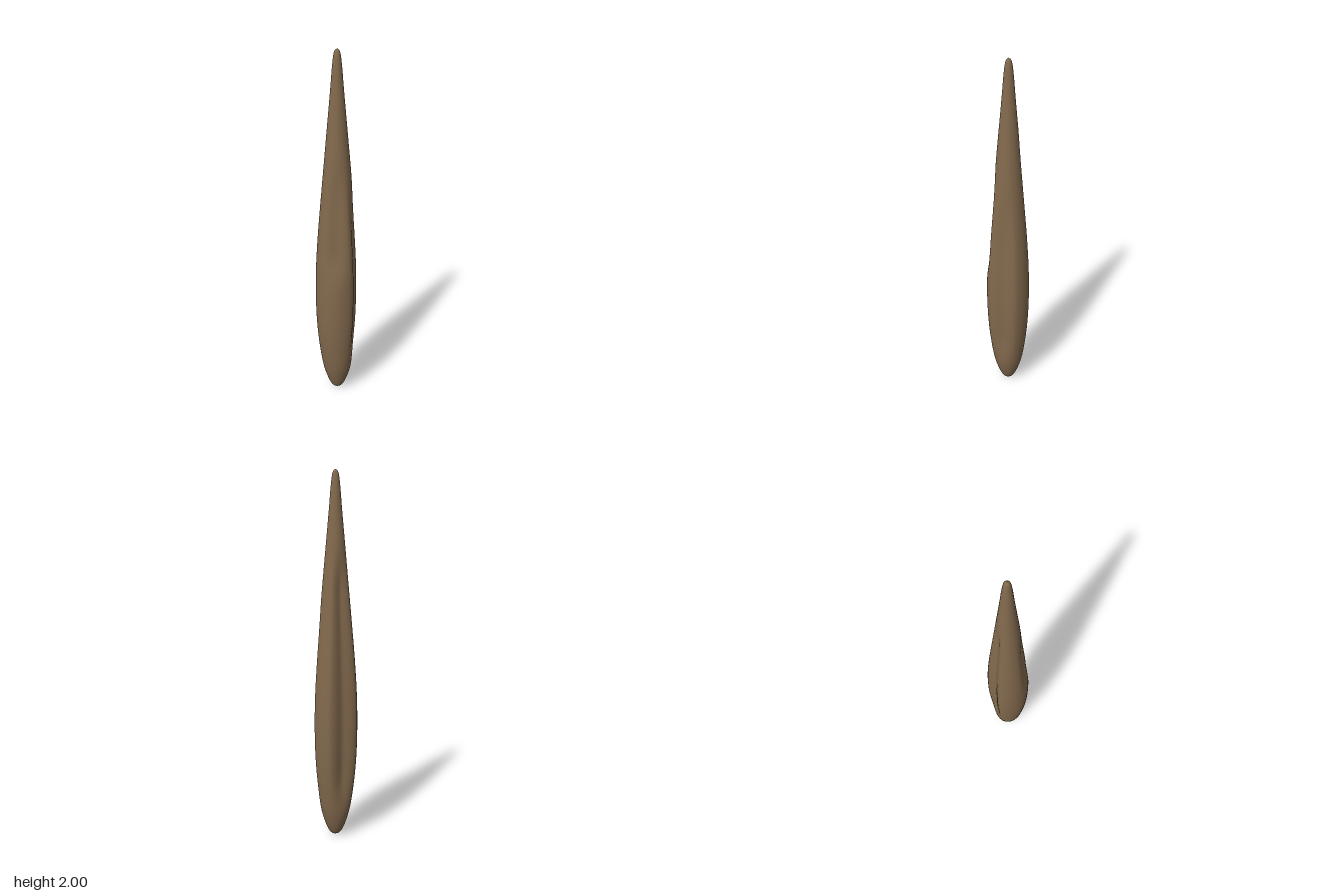
import * as THREE from 'three';
import { mergeVertices } from 'three/addons/utils/BufferGeometryUtils.js';

const { smoothstep } = THREE.MathUtils;

// Lengthwise hollows: direction around the axis (0 = front, + = left), half width, depth, height range with fades
const hollows = [
  { angle: 0.63, width: 0.72, depth: 0.22, from: [0.1, 0.4], to: [0.95, 1.4] },
  { angle: 3.02, width: 0.78, depth: 0.34, from: [0.08, 0.4], to: [1.35, 1.65] },
  { angle: -0.79, width: 0.7, depth: 0.17, from: [0.72, 0.95], to: [1.2, 1.5] },
];

// Fraction of the radius left at an angle and height
function radiusScale(angle, y) {
  let scale = 1;
  for (const h of hollows) {
    const d = Math.atan2(Math.sin(angle - h.angle), Math.cos(angle - h.angle)) / h.width;
    if (Math.abs(d) >= 1) continue;
    const fade = smoothstep(y, ...h.from) * (1 - smoothstep(y, ...h.to));
    scale -= h.depth * fade * Math.cos(d * Math.PI / 2) ** 1.6;
  }
  return scale;
}

function podGeometry() {
  // Teardrop outline as radius, height
  const outline = new THREE.SplineCurve([
    [0, 0], [0.032, 0.018], [0.063, 0.09], [0.089, 0.2], [0.112, 0.4], [0.12, 0.6],
    [0.117, 0.8], [0.105, 1], [0.088, 1.2], [0.07, 1.4], [0.052, 1.6],
    [0.034, 1.8], [0.024, 1.92], [0.015, 1.982], [0, 2],
  ].map(([r, y]) => new THREE.Vector2(r, y)));
  const points = outline.getPoints(112).map(p => new THREE.Vector2(Math.max(p.x, 0), THREE.MathUtils.clamp(p.y, 0, 2)));

  let geometry = new THREE.LatheGeometry(points, 80);
  geometry.deleteAttribute('uv');
  geometry.deleteAttribute('normal');
  geometry = mergeVertices(geometry, 1e-5);

  // Press the hollows into the round body
  const pos = geometry.attributes.position;
  for (let i = 0; i < pos.count; i++) {
    const x = pos.getX(i), y = pos.getY(i), z = pos.getZ(i);
    const s = radiusScale(Math.atan2(x, z), y);
    pos.setXYZ(i, x * s, y, z * s - 0.014);
  }
  geometry.computeVertexNormals();
  return geometry;
}

export function createModel() {
  const group = new THREE.Group();
  group.name = 'woodenPod';
  const body = new THREE.Mesh(podGeometry(), new THREE.MeshStandardMaterial({ color: 0x82694d }));
  body.name = 'podBody';
  group.add(body);
  return group;
}
